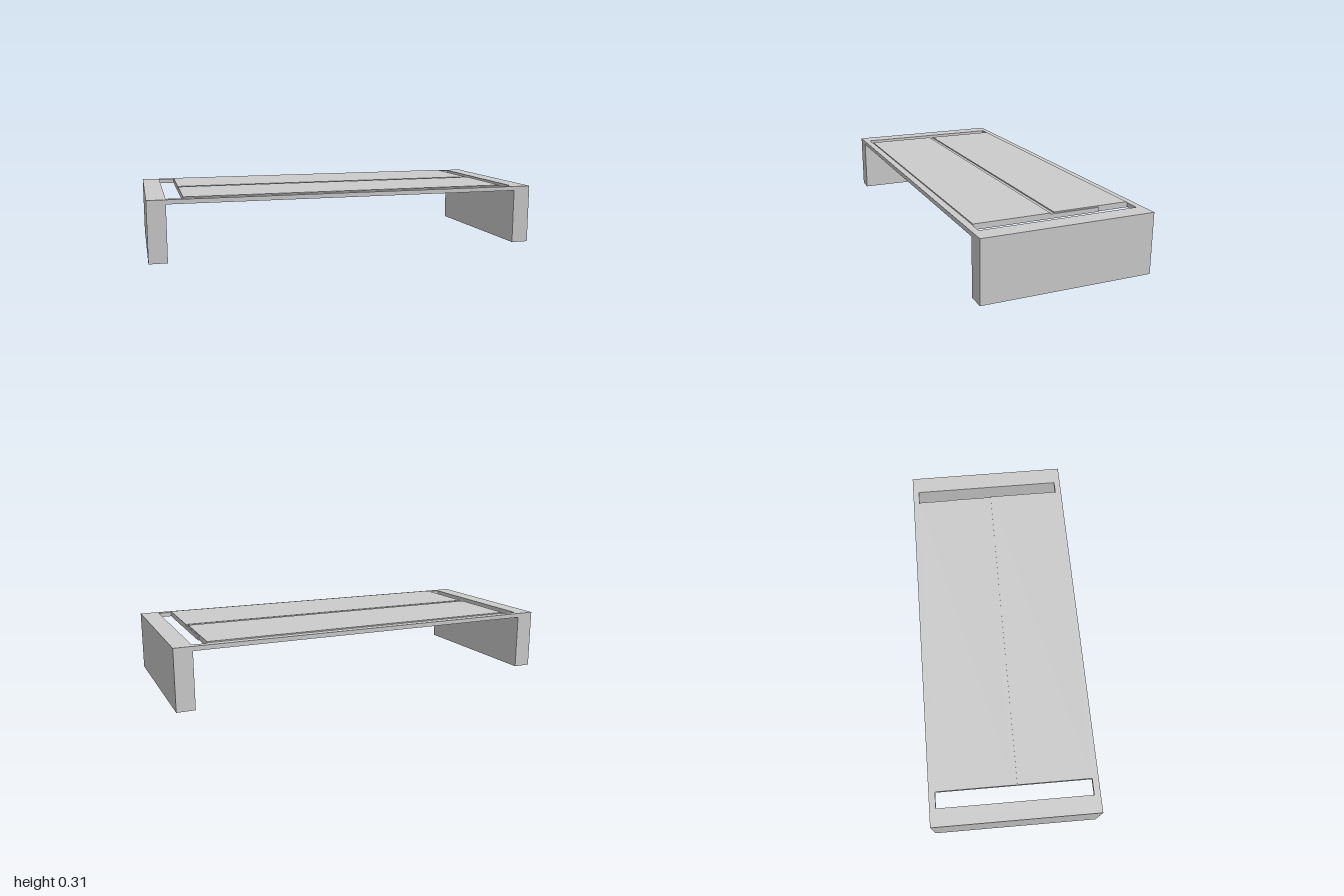
import * as THREE from 'three';

const material = new THREE.MeshStandardMaterial({ color: 0xcccccc, flatShading: true });

// Box given by its minimum and maximum corners
function box(name, [x0, y0, z0], [x1, y1, z1]) {
  const mesh = new THREE.Mesh(new THREE.BoxGeometry(x1 - x0, y1 - y0, z1 - z0), material);
  mesh.position.set((x0 + x1) / 2, (y0 + y1) / 2, (z0 + z1) / 2);
  mesh.name = name;
  return mesh;
}

// Closed outline in plan; the second coordinate points to the back
const outline = (pts, Type) => new Type(pts.map(([x, y]) => new THREE.Vector2(x, y)));

export function createModel() {
  const group = new THREE.Group();
  group.name = 'lowTable';
  const top = 0.304, under = 0.282, inner = 0.91, depth = 0.43, slot = 0.397;

  // Slab legs at both ends
  group.add(box('rightLeg', [-1, 0, -depth], [-inner, top, depth]));
  group.add(box('leftLeg', [inner, 0, -depth], [1, top, depth]));

  // Deck with a long open slot beside each leg
  const deckShape = outline(
    [[-inner, -depth], [inner, -depth], [inner, depth], [-inner, depth]], THREE.Shape);
  deckShape.holes.push(
    outline([[-0.909, -slot], [-0.909, slot], [-0.828, slot], [-0.828, -slot]], THREE.Path),
    outline([[0.84, -slot], [0.84, 0.235], [0.834, 0.235], [0.834, slot],
      [0.907, slot], [0.907, -slot]], THREE.Path));
  const deckGeometry = new THREE.ExtrudeGeometry(deckShape,
    { depth: top - under, bevelEnabled: false });
  deckGeometry.rotateX(-Math.PI / 2);
  const deck = new THREE.Mesh(deckGeometry, material);
  deck.position.y = under;
  deck.name = 'deck';
  group.add(deck);

  // Two thin raised panels with a narrow gap between them
  group.add(box('frontPanel', [-0.828, top, 0.018], [0.84, 0.31, 0.395]));
  group.add(box('backPanel', [-0.828, top, -0.391], [0.834, 0.31, -0.004]));

  return group;
}
